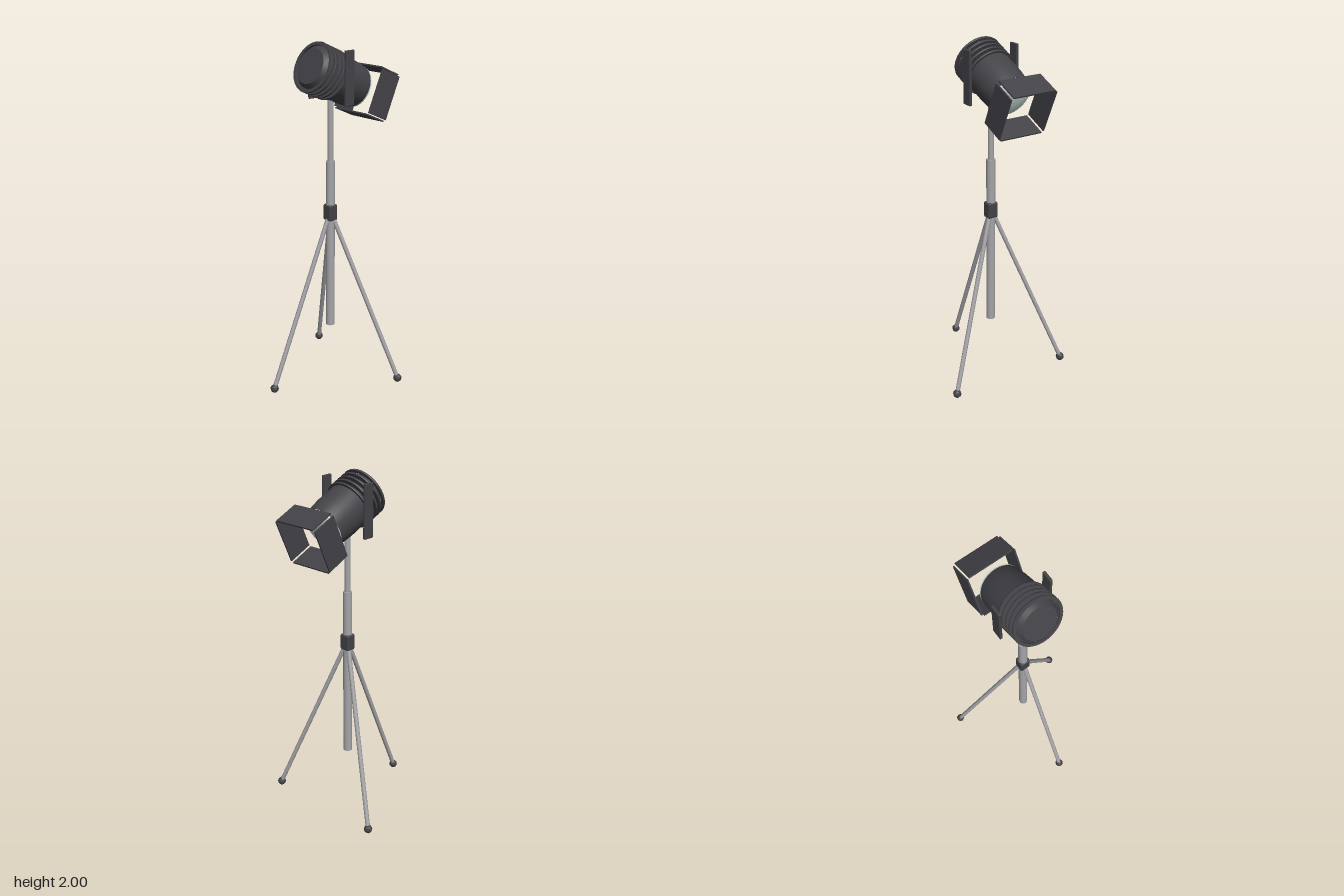
import * as THREE from 'three';
import { toCreasedNormals } from 'three/addons/utils/BufferGeometryUtils.js';
import { RoundedBoxGeometry } from 'three/addons/geometries/RoundedBoxGeometry.js';

export function createModel() {
  const material = (name, color) => {
    const m = new THREE.MeshStandardMaterial({ color });
    m.name = name;
    return m;
  };
  const black = material('matte black', 0x434247);
  const metal = material('grey metal', 0xa5a4a8);
  const glass = material('pale glass', 0xcfe0dc);

  const model = new THREE.Group();
  model.name = 'studioLamp';
  const add = (parent, name, geometry, mat, x = 0, y = 0, z = 0) => {
    const mesh = new THREE.Mesh(geometry, mat);
    mesh.name = name;
    mesh.position.set(x, y, z);
    parent.add(mesh);
    return mesh;
  };
  const CX = -0.005, CZ = -0.022;

  // Telescopic pole and collar
  add(model, 'lowerPole', new THREE.CylinderGeometry(0.026, 0.026, 1.015, 24), metal, CX, 0.8225, CZ);
  add(model, 'upperPole', new THREE.CylinderGeometry(0.017, 0.017, 0.38, 24), metal, CX, 1.51, CZ);
  add(model, 'collar', new RoundedBoxGeometry(0.064, 0.095, 0.06, 2, 0.01), black, CX, 1.025, CZ);

  // Tripod legs with faceted feet
  const feet = [[-0.372, -0.247], [0.368, -0.23], [-0.016, 0.402]];
  for (const [x, z] of feet) {
    const foot = new THREE.Vector3(x, 0.028, z);
    const hub = new THREE.Vector3(CX, 1.0, CZ).lerp(new THREE.Vector3(x, 1.0, z), 0.03);
    const dir = hub.clone().sub(foot);
    const leg = add(model, 'leg', new THREE.CylinderGeometry(0.013, 0.013, dir.length(), 8), metal);
    leg.position.copy(foot).addScaledVector(dir, 0.5);
    leg.quaternion.setFromUnitVectors(new THREE.Vector3(0, 1, 0), dir.clone().normalize());
    const tip = toCreasedNormals(new THREE.SphereGeometry(0.025, 8, 6), 0.2);
    add(model, 'foot', tip, black, x, 0.026, z);
  }

  // Upright yoke arms beside the lamp
  for (const side of [-1, 1]) {
    add(model, 'yokeArm', new RoundedBoxGeometry(0.016, 0.3, 0.064, 2, 0.004), black,
      CX + side * 0.151, 1.817, -0.024);
  }

  // Lamp head, beam pointing along its local -z and tilted down
  const head = new THREE.Group();
  head.name = 'lampHead';
  head.position.set(CX, 1.814, -0.026);
  head.rotation.x = -THREE.MathUtils.degToRad(23.8);
  model.add(head);

  // Profiles are [radius, distance along the beam]
  const turned = (points) => {
    const g = new THREE.LatheGeometry(points.map(([r, d]) => new THREE.Vector2(r, d)), 48);
    return toCreasedNormals(g.rotateX(-Math.PI / 2), 0.5);
  };
  add(head, 'housing', turned([
    [0, -0.165], [0.1, -0.165], [0.119, -0.14], [0.119, -0.02], [0.13, -0.015],
    [0.131, 0.06], [0.129, 0.12], [0.125, 0.165], [0.12, 0.195], [0, 0.195],
  ]), black);

  // Cooling fins
  for (let i = 0; i < 5; i++) {
    const d = -0.016 - i * 0.032;
    const inner = i === 4 ? 0.125 : 0.11;
    add(head, 'coolingFin', turned([
      [inner, d - 0.006], [0.143, d - 0.006], [0.145, d], [0.143, d + 0.006],
      [inner, d + 0.006], [inner, d - 0.006],
    ]), black);
  }

  // Shallow domed lens
  add(head, 'lens', turned([
    [0.118, 0.19], [0.119, 0.205], [0.105, 0.215], [0.08, 0.223], [0.045, 0.229], [0, 0.231],
  ]), glass);

  // Four barn door flaps
  const depth = 0.147, middle = -0.297;
  for (const side of [-1, 1]) {
    add(head, 'horizontalFlap', new THREE.BoxGeometry(0.262, 0.008, depth), black, 0, side * 0.138, middle);
    add(head, 'verticalFlap', new THREE.BoxGeometry(0.008, 0.258, depth), black, side * 0.142, 0, middle);
  }
  return model;
}
